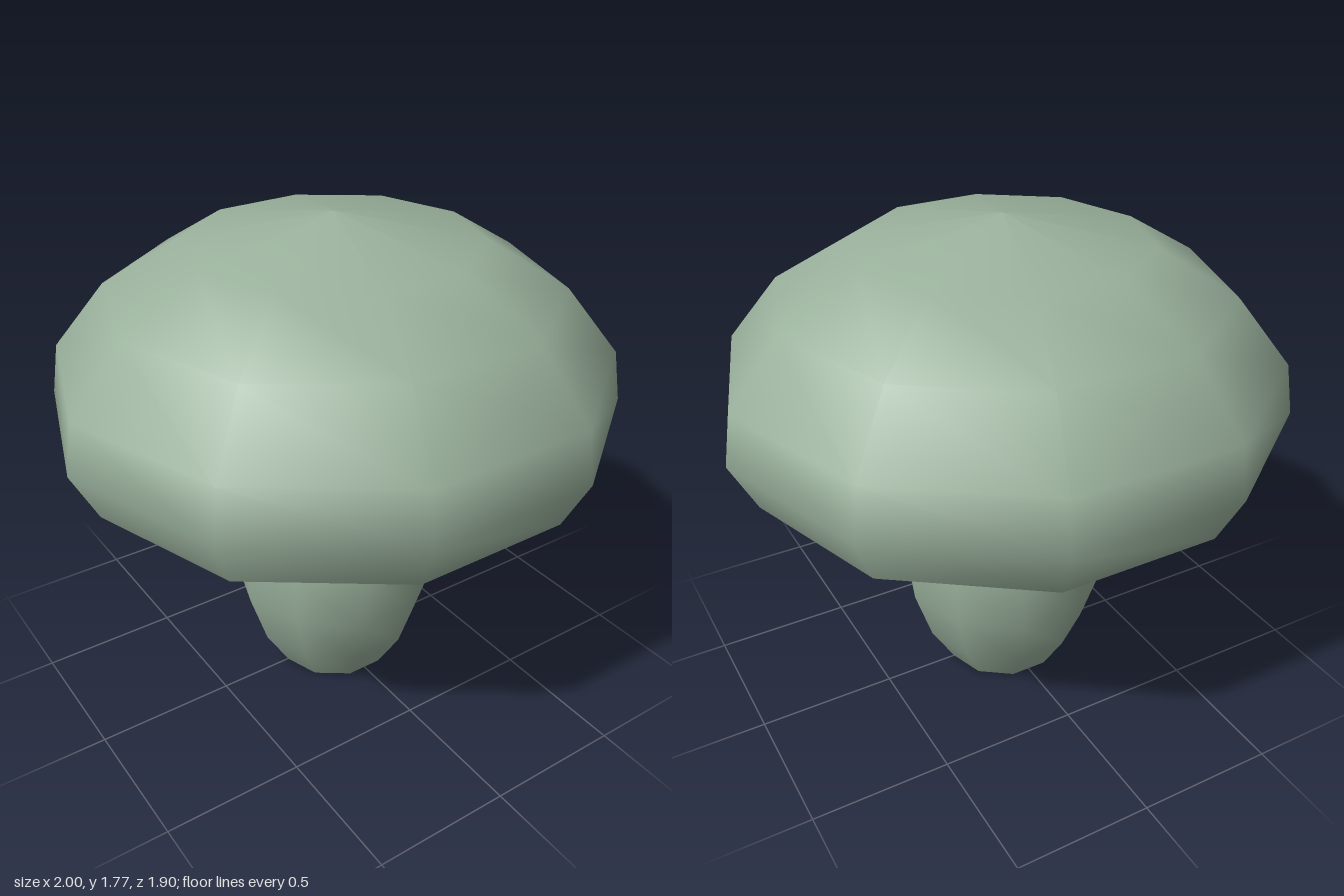
import * as THREE from 'three';

const SIDES = 10;
const COLOR = 0x9ab19c;

// Ten-sided turned part with a corner on the x axis; profile is [radius, height] pairs
function turned(name, profile, flatShading = false) {
  const points = profile.map(([r, y]) => new THREE.Vector2(r, y));
  const geometry = new THREE.LatheGeometry(points, SIDES, Math.PI / 2);
  const material = new THREE.MeshStandardMaterial({ color: COLOR, flatShading, side: THREE.DoubleSide });
  const mesh = new THREE.Mesh(geometry, material);
  mesh.name = name;
  return mesh;
}

export function createModel() {
  const group = new THREE.Group();
  group.name = 'mushroom';

  const stemTop = [0.22, 0.93];
  const rim = [0.91, 0.925];

  // Bulging stem, open at the foot
  group.add(turned('stem', [
    [0.22, 0], [0.31, 0.15], [0.375, 0.35], [0.39, 0.55], [0.36, 0.78], stemTop,
  ]));

  // Faceted underside, hollowed between stem and rim
  group.add(turned('capUnderside', [stemTop, [0.545, 1.02], rim], true));

  // Smooth domed cap
  group.add(turned('cap', [
    rim, [1, 1.105], [0.97, 1.285], [0.785, 1.515], [0.51, 1.68], [0, 1.775],
  ]));

  return group;
}
